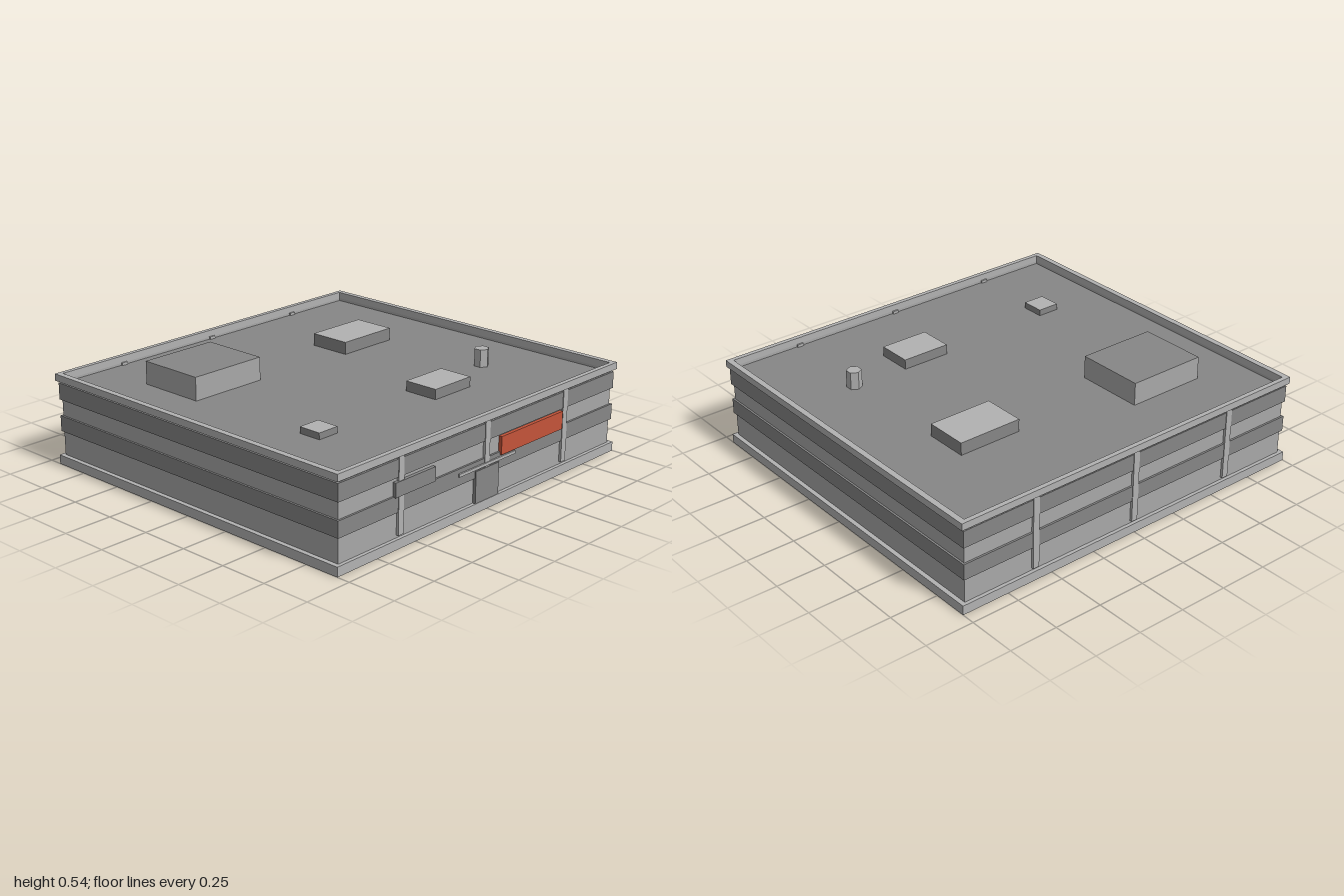
import * as THREE from 'three';

const mat = (name, color) => {
  const m = new THREE.MeshStandardMaterial({ color });
  m.name = name;
  return m;
};

export function createModel() {
  const group = new THREE.Group();
  const trim = mat('paleTrim', 0xb2b2b2);
  const wall = mat('wallGrey', 0xa8a8a8);
  const dark = mat('darkGrey', 0x868686);
  const red = mat('signRed', 0xc4543a);

  // Box given by its extents on each axis
  const box = (name, [x0, x1], [y0, y1], [z0, z1], material) => {
    const mesh = new THREE.Mesh(new THREE.BoxGeometry(x1 - x0, y1 - y0, z1 - z0), material);
    mesh.position.set((x0 + x1) / 2, (y0 + y1) / 2, (z0 + z1) / 2);
    mesh.name = name;
    group.add(mesh);
    return mesh;
  };
  const storey = (name, hx, hz, y, material) => box(name, [-hx, hx], y, [-hz, hz], material);
  const capped = (side, top) => [side, side, top, side, side, side];

  // Rectangular ring, open in the middle
  const ring = (name, hx, hz, ix, iz, y0, y1, material) => {
    const rect = (S, a, b) => {
      const s = new S();
      s.moveTo(-a, -b);
      s.lineTo(a, -b);
      s.lineTo(a, b);
      s.lineTo(-a, b);
      s.closePath();
      return s;
    };
    const shape = rect(THREE.Shape, hx, hz);
    shape.holes.push(rect(THREE.Path, ix, iz));
    const geo = new THREE.ExtrudeGeometry(shape, { depth: y1 - y0, bevelEnabled: false });
    geo.rotateX(-Math.PI / 2);
    const mesh = new THREE.Mesh(geo, material);
    mesh.position.y = y0;
    mesh.name = name;
    group.add(mesh);
  };

  // Main block: plinth, wall with roof deck, projecting window bands, parapet
  storey('plinth', 1, 0.933, [0, 0.047], trim);
  storey('wallBlock', 0.977, 0.915, [0.047, 0.418], capped(wall, dark));
  storey('lowerWindowBand', 0.987, 0.925, [0.17, 0.25], dark);
  ring('upperWindowBand', 0.987, 0.925, 0.972, 0.91, 0.333, 0.418, dark);
  ring('parapetCollar', 0.977, 0.915, 0.97, 0.909, 0.41, 0.432, wall);
  ring('parapet', 1, 0.933, 0.97, 0.909, 0.43, 0.465, trim);

  // Pilasters on front and back
  for (const x of [-0.593, -0.002, 0.588]) {
    for (const s of [-1, 1]) {
      const z = s > 0 ? [0.9, 0.928] : [-0.928, -0.9];
      box('pilaster', [x - 0.017, x + 0.017], [0.06, 0.432], z, trim);
    }
  }

  // Entrance, canopy and front panels
  box('entrance', [-0.085, 0.082], [0.047, 0.205], [0.9, 0.931], dark);
  box('canopy', [-0.205, 0.2], [0.213, 0.228], [0.9, 0.933], trim);
  box('darkPanel', [-0.635, -0.37], [0.245, 0.315], [0.9, 0.932], dark);
  box('redSign', [0.095, 0.562], [0.235, 0.325], [0.9, 0.933], red);

  // Rooftop equipment
  const deck = 0.41;
  box('plantRoom', [-0.71, -0.293], [deck, 0.535], [-0.6, -0.246], capped(wall, dark));
  box('largeRoofUnit', [0.28, 0.617], [deck, 0.482], [-0.44, -0.218], capped(dark, trim));
  box('frontRoofUnit', [0.07, 0.326], [deck, 0.469], [0.373, 0.555], capped(dark, trim));
  box('smallRoofHatch', [-0.68, -0.563], [deck, 0.45], [0.403, 0.522], capped(dark, trim));
  const vent = new THREE.Mesh(new THREE.CylinderGeometry(0.038, 0.038, 0.1, 6), trim);
  vent.material.flatShading = true;
  vent.position.set(0.617, 0.458, 0.39);
  vent.name = 'roofVent';
  group.add(vent);

  return group;
}
